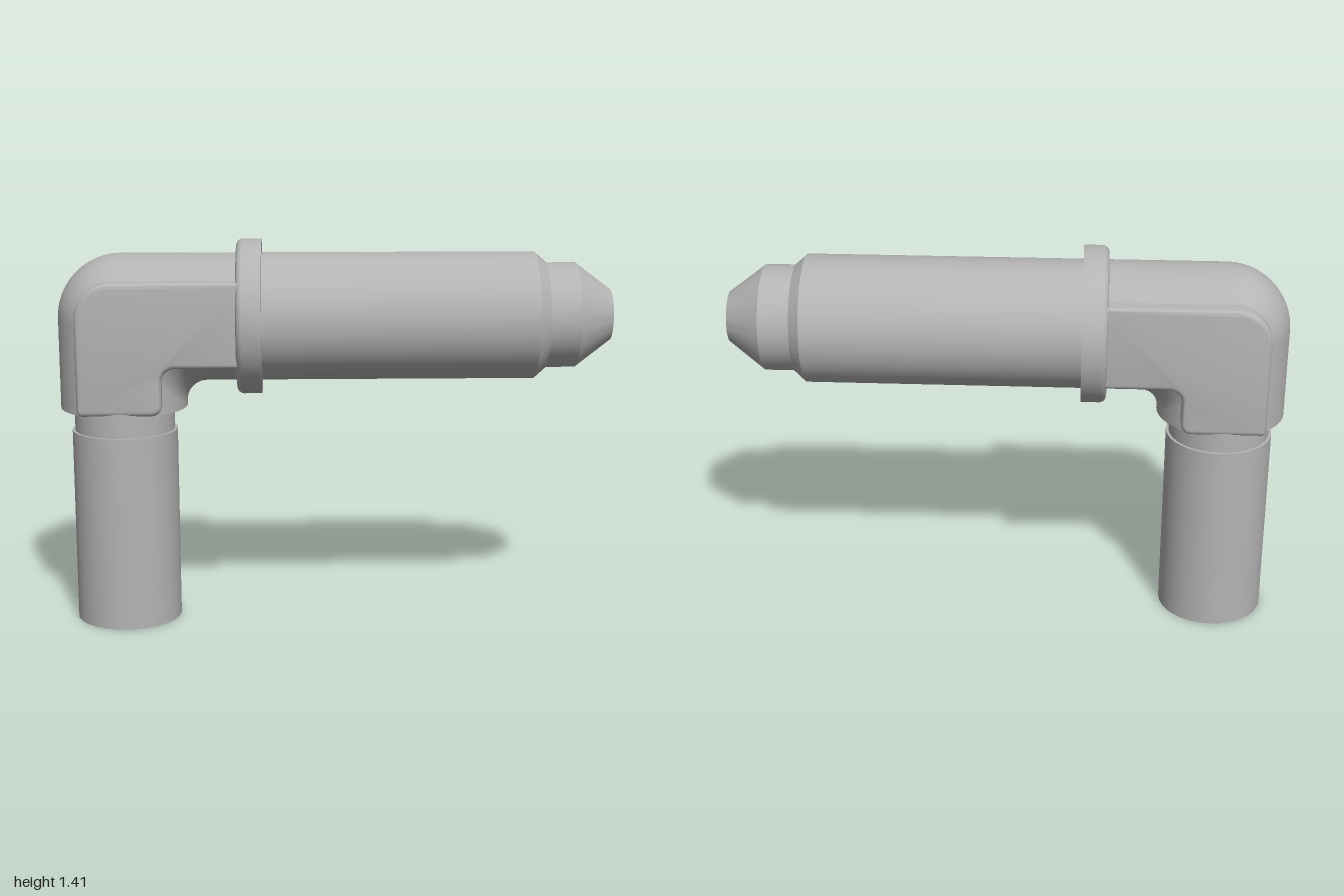
import * as THREE from 'three';
import { toCreasedNormals } from 'three/addons/utils/BufferGeometryUtils.js';
import { ParametricGeometry } from 'three/addons/geometries/ParametricGeometry.js';

const R = 0.23;       // elbow and barrel radius
const AXIS_Y = 1.127; // height of the horizontal axis
const AXIS_X = -0.77; // position of the vertical axis

export function createModel() {
  const group = new THREE.Group();
  const grey = new THREE.MeshStandardMaterial({ color: 0xb4b4b4 });
  grey.name = 'grey';

  const add = (name, geometry) => {
    const mesh = new THREE.Mesh(geometry, grey);
    mesh.name = name;
    group.add(mesh);
    return mesh;
  };
  const lathe = (profile) => toCreasedNormals(
    new THREE.LatheGeometry(profile.map(([r, h]) => new THREE.Vector2(r, h)), 72), 0.45);
  const vertical = (name, profile) => { add(name, lathe(profile)).position.x = AXIS_X; };
  const horizontal = (name, profile) => {
    const mesh = add(name, lathe(profile));
    mesh.rotation.z = -Math.PI / 2;
    mesh.position.y = AXIS_Y;
  };
  // quarter-round profile points from angle a to b
  const arc = (cr, ch, r, a, b, n) => Array.from({ length: n + 1 }, (_, i) => {
    const t = a + (b - a) * i / n;
    return [Math.max(0, cr + r * Math.cos(t)), ch + r * Math.sin(t)];
  });

  // Lower tube: hollow sleeve around a tapered inner nozzle, then a narrower neck
  vertical('innerNozzle', [
    [0, 0.5], [0.058, 0.4], [0.058, 0.005], [0.074, 0.005], [0.09, 0.08], [0.09, 0.45],
  ]);
  vertical('lowerTube', [
    [0.09, 0.4], [0.168, 0.4], [0.168, 0], [0.192, 0], [0.192, 0.715],
    [0.182, 0.715], [0.182, 0.82],
  ]);

  // Elbow: upright leg closed by a dome, meeting the barrel
  vertical('elbow', [[0.17, 0.8], [R, 0.8], ...arc(0, AXIS_Y, R, 0, Math.PI / 2, 16)]);

  // Barrel with chamfered shoulder, tapered tip and bore
  horizontal('barrel', [
    [R, AXIS_X], [R, 0.72], [0.195, 0.76], [0.19, 0.76], [0.19, 0.87],
    [0.092, 1], [0.082, 1], [0.08, 0.6], [0, 0.4],
  ]);

  // Collar with its rear rim rounded
  horizontal('collar', [
    [0.2, -0.355], ...arc(0.255, -0.33, 0.025, -Math.PI / 2, 0, 6),
    [0.28, -0.265], [0.2, -0.265],
  ]);

  // Fillet in the inner corner where the two cylinders meet
  const f = 0.08;
  add('innerFillet', new ParametricGeometry((u, v, target) => {
    const a = (u - 0.5) * Math.PI * 0.99;
    const h = R * Math.cos(a);
    const t = (Math.PI / 2) * (1 + v);
    target.set(AXIS_X + h + f + f * Math.cos(t), AXIS_Y - h - f + f * Math.sin(t), R * Math.sin(a));
  }, 40, 10));

  // Flat side pads: one bevelled L-shaped block showing through both sides of the elbow
  const s = new THREE.Shape();
  s.moveTo(-0.9, 0.805);
  s.lineTo(-0.655, 0.805);
  s.absarc(-0.655, 0.84, 0.035, -Math.PI / 2, 0, false);
  s.lineTo(-0.62, 0.925);
  s.absarc(-0.57, 0.925, 0.05, Math.PI, Math.PI / 2, true);
  s.lineTo(-0.31, 0.975);
  s.lineTo(-0.31, 1.28);
  s.lineTo(-0.79, 1.28);
  s.absarc(-0.79, 1.15, 0.13, Math.PI / 2, Math.PI, false);
  s.lineTo(-0.92, 0.825);
  s.absarc(-0.9, 0.825, 0.02, Math.PI, Math.PI * 1.5, false);
  const bevel = 0.018, half = 0.232;
  const pads = new THREE.ExtrudeGeometry(s, {
    depth: 2 * (half - bevel), curveSegments: 10, bevelEnabled: true, bevelSegments: 4,
    bevelThickness: bevel, bevelSize: bevel, bevelOffset: -bevel,
  });
  pads.translate(0, 0, bevel - half);
  add('sidePads', toCreasedNormals(pads, 0.6));

  return group;
}
